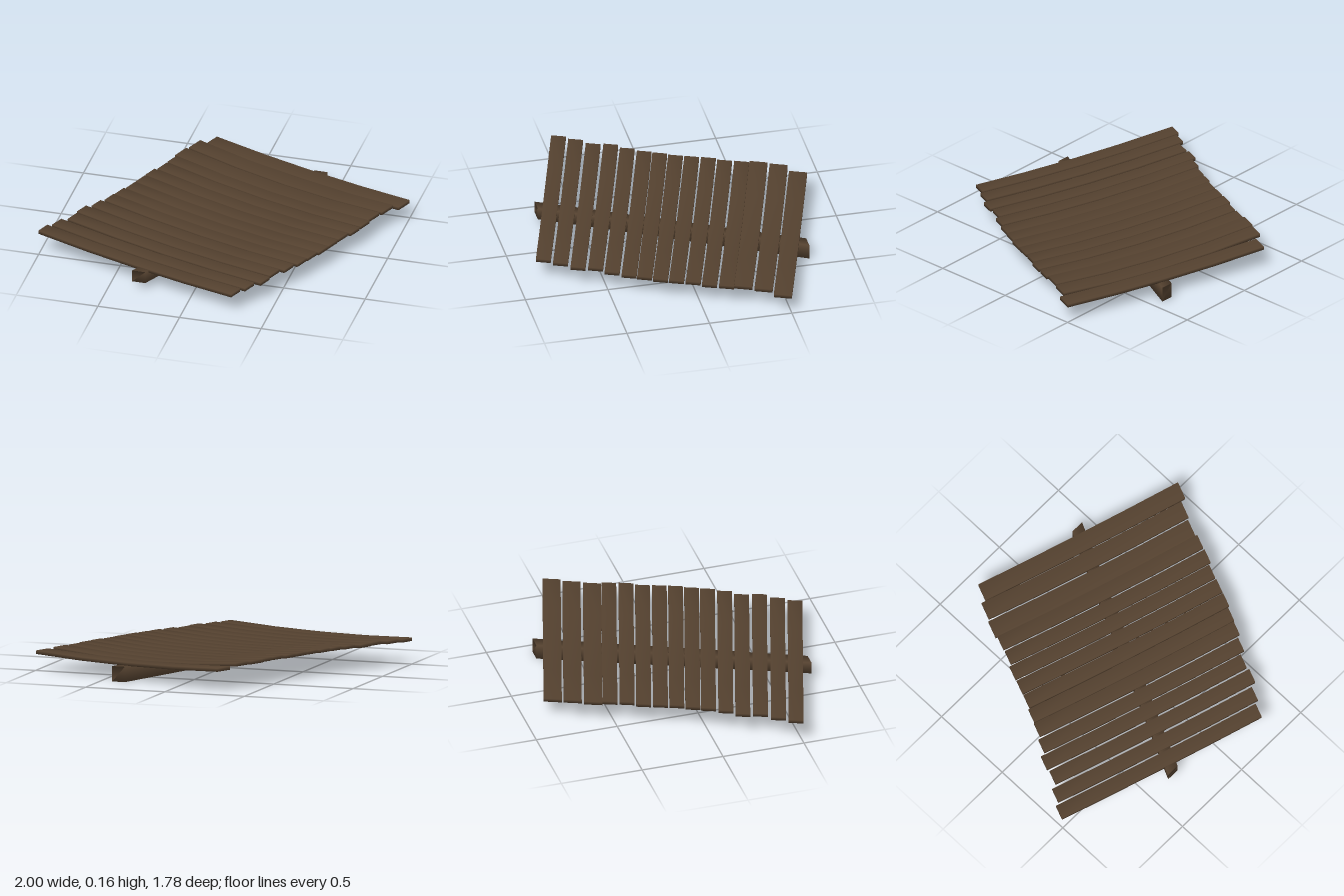
import * as THREE from 'three';
import { mergeVertices } from 'three/addons/utils/BufferGeometryUtils.js';

// Unit box remapped by place(u, v, w), each in 0..1, with shared corners for soft shading
function mappedBox(segments, place) {
  let geo = new THREE.BoxGeometry(1, 1, 1, segments, 1, 1);
  geo.deleteAttribute('uv');
  geo.deleteAttribute('normal');
  geo = mergeVertices(geo);
  const p = geo.attributes.position;
  for (let i = 0; i < p.count; i++) {
    p.setXYZ(i, ...place(p.getX(i) + 0.5, p.getY(i) + 0.5, p.getZ(i) + 0.5));
  }
  geo.computeVertexNormals();
  return geo;
}

export function createModel() {
  const group = new THREE.Group();
  const wood = new THREE.MeshStandardMaterial({ color: 0x54412f });
  wood.name = 'darkWood';

  // Back corner (x, z) of each plank's right-hand end, back to front
  const starts = [
    [-0.29, -0.89], [-0.365, -0.79], [-0.42, -0.68], [-0.45, -0.575], [-0.485, -0.48],
    [-0.535, -0.393], [-0.57, -0.3], [-0.605, -0.21], [-0.65, -0.125], [-0.69, -0.04],
    [-0.745, 0.05], [-0.81, 0.135], [-0.84, 0.235], [-0.91, 0.325], [-0.97, 0.415],
  ];
  const thickness = 0.021;

  // Sagging deck planks with skewed ends
  starts.forEach(([x, z], i) => {
    const t = i / (starts.length - 1);
    const [wx, wz] = i < 3 ? [-0.041, 0.1] : [-0.033, 0.082];
    const a = i === 0 ? 0.14 : 0.16;
    const m = 0.112 + 0.02 * t;
    const b = i === 0 ? 0.12 : 0.13 + 0.008 * t;
    const geo = mappedBox(4, (u, v, w) => {
      // Quadratic through the two end heights and the middle height
      const top = a * (1 - u) * (1 - 2 * u) + m * 4 * u * (1 - u) + b * u * (2 * u - 1);
      return [x + 1.288 * u + wx * w, top - thickness * (1 - v), z + 0.39 * u + wz * w];
    });
    const plank = new THREE.Mesh(geo, wood);
    plank.name = `plank${i + 1}`;
    group.add(plank);
  });

  // Slanted support beam, running from the low back end to the higher front end
  const beam = new THREE.Mesh(mappedBox(1, (u, v, w) => [
    0.35 - 0.71 * w + 0.08 * u,
    0.05 * w + v * (0.092 - 0.018 * w),
    -0.737 + 1.482 * w,
  ]), wood);
  beam.name = 'supportBeam';
  group.add(beam);

  return group;
}
